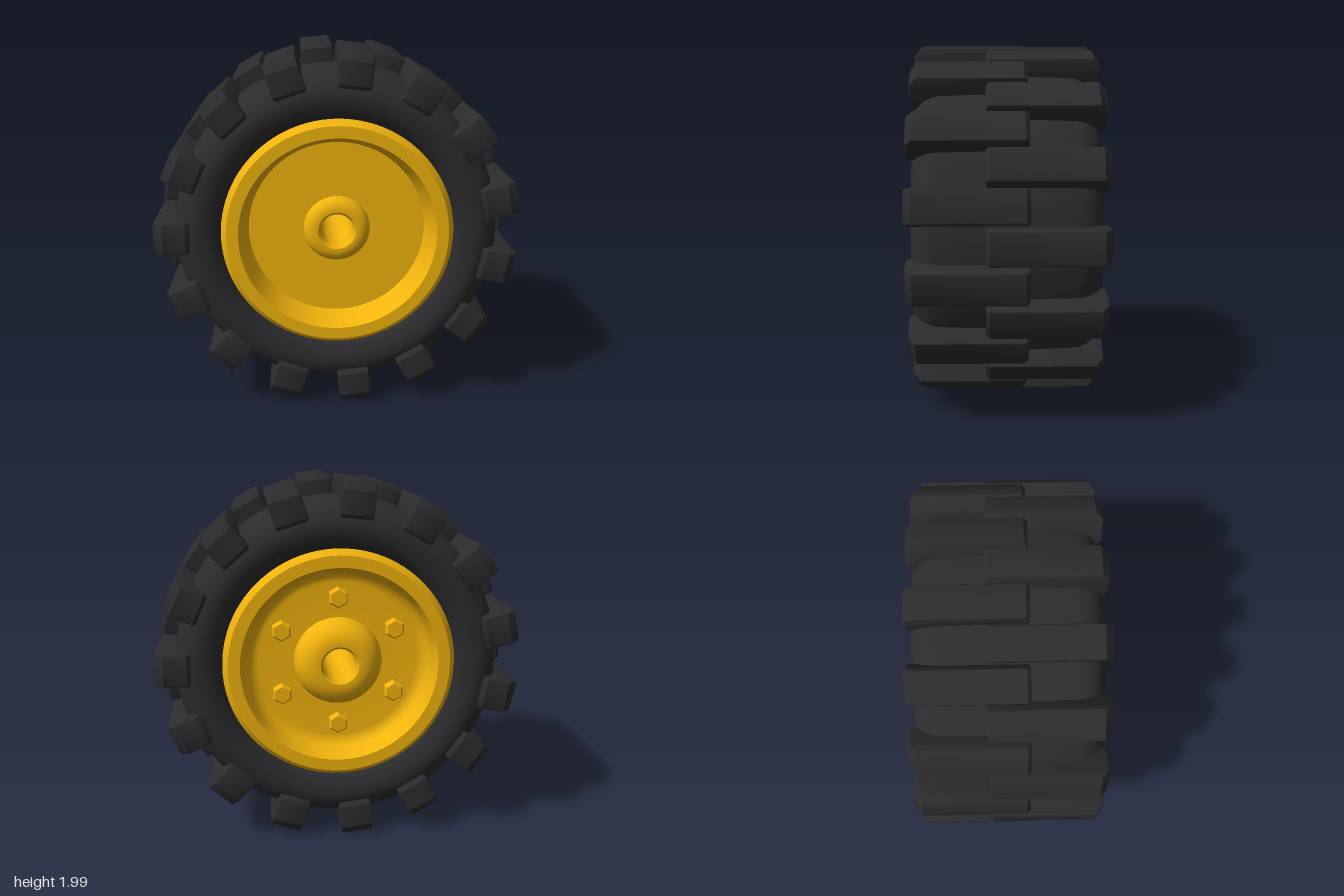
import * as THREE from 'three';
import { toCreasedNormals } from 'three/addons/utils/BufferGeometryUtils.js';

const rubber = new THREE.MeshStandardMaterial({ color: 0x2c2c2e });
const paint = new THREE.MeshStandardMaterial({ color: 0xf2b40d });

// Spins a closed [radius, z] profile around the z axis, keeping hard edges sharp.
function spin(name, profile, material, segments = 96) {
  const points = [...profile, profile[0]].map(([r, z]) => new THREE.Vector2(r, z));
  const geometry = new THREE.LatheGeometry(points, segments).rotateX(Math.PI / 2);
  const mesh = new THREE.Mesh(toCreasedNormals(geometry, 0.5), material);
  mesh.name = name;
  return mesh;
}

// Points on an elliptical arc from angle a to b, in [radius, z].
function arc(r, z, rr, rz, a, b, steps = 8) {
  return Array.from({ length: steps + 1 }, (_, i) => {
    const t = THREE.MathUtils.degToRad(a + (b - a) * i / steps);
    return [r + rr * Math.cos(t), z + rz * Math.sin(t)];
  });
}

function createLugGeometry() {
  // Side outline: [z, radius], wrapping over the tyre shoulder.
  const outline = [[-0.11, 0.84], [0.3, 0.84], [0.42, 0.8], [0.495, 0.8],
    [0.51, 0.82], [0.51, 0.945], [0.47, 0.995], [-0.09, 0.995], [-0.11, 0.975]];
  const shape = new THREE.Shape(outline.map(([z, r]) => new THREE.Vector2(z, r)));
  const bevel = 0.014, width = 0.18;
  const geometry = new THREE.ExtrudeGeometry(shape, {
    depth: width - 2 * bevel, bevelThickness: bevel, bevelSize: bevel,
    bevelOffset: -bevel, bevelSegments: 2,
  });
  geometry.translate(0, 0, -width / 2 + bevel).rotateY(-Math.PI / 2);
  return toCreasedNormals(geometry, 0.5);
}

export function createModel() {
  const wheel = new THREE.Group();
  wheel.name = 'wheel';
  wheel.position.y = 1;

  // Tyre carcass: crowned tread, round shoulders and bulging sidewalls
  const frontHalf = [[0.9, 0.06], [0.897, 0.2], ...arc(0.75, 0.33, 0.142, 0.16, 10, 90),
    [0.7, 0.482], [0.655, 0.455], [0.62, 0.41], [0.6, 0.3]];
  const backHalf = frontHalf.map(([r, z]) => [r, -z]).reverse();
  wheel.add(spin('tyre', [...backHalf, ...frontHalf], rubber));

  // Tread: two overlapping rows of lugs, staggered by half a step
  const lugCount = 15;
  const lugGeometry = createLugGeometry();
  for (const row of ['front', 'back']) {
    const tread = new THREE.Group();
    tread.name = row + 'Tread';
    for (let i = 0; i < lugCount; i++) {
      const lug = new THREE.Mesh(lugGeometry, rubber);
      lug.name = row + 'Lug';
      const angle = (i + (row === 'front' ? 0.5 : 0)) * 2 * Math.PI / lugCount;
      lug.rotation.set(0, row === 'front' ? 0 : Math.PI, angle - Math.PI / 2, 'ZYX');
      tread.add(lug);
    }
    wheel.add(tread);
  }

  // Rim: flat dish with a low hub in front, rounded bowl with a domed hub behind
  wheel.add(spin('rim', [
    [0.635, -0.45], [0.635, 0.45], [0.605, 0.485], [0.54, 0.485], [0.49, 0.33],
    [0.185, 0.33], ...arc(0.115, 0.33, 0.07, 0.06, 0, 90), [0.105, 0.39], [0.092, 0.375],
    [0.092, -0.46], [0.105, -0.475], [0.12, -0.475],
    ...arc(0.12, -0.35, 0.125, 0.125, -90, 0).slice(1),
    [0.44, -0.35], ...arc(0.44, -0.43, 0.08, 0.08, 90, 0), [0.54, -0.485], [0.605, -0.485],
  ], paint));

  // Six hexagonal bolts on the back of the dish
  const bolts = new THREE.Group();
  bolts.name = 'bolts';
  const profile = [[0, -0.03], [0.057, -0.03], [0.057, 0.022], [0.047, 0.032], [0, 0.032]];
  const boltGeometry = new THREE.LatheGeometry(
    profile.map(([r, y]) => new THREE.Vector2(r, y)), 6).rotateX(-Math.PI / 2);
  const hexGeometry = toCreasedNormals(boltGeometry, 0.3);
  for (let i = 0; i < 6; i++) {
    const bolt = new THREE.Mesh(hexGeometry, paint);
    bolt.name = 'bolt';
    const angle = Math.PI / 2 + i * Math.PI / 3;
    bolt.position.set(0.36 * Math.cos(angle), 0.36 * Math.sin(angle), -0.37);
    bolts.add(bolt);
  }
  wheel.add(bolts);

  const model = new THREE.Group();
  model.add(wheel);
  return model;
}
